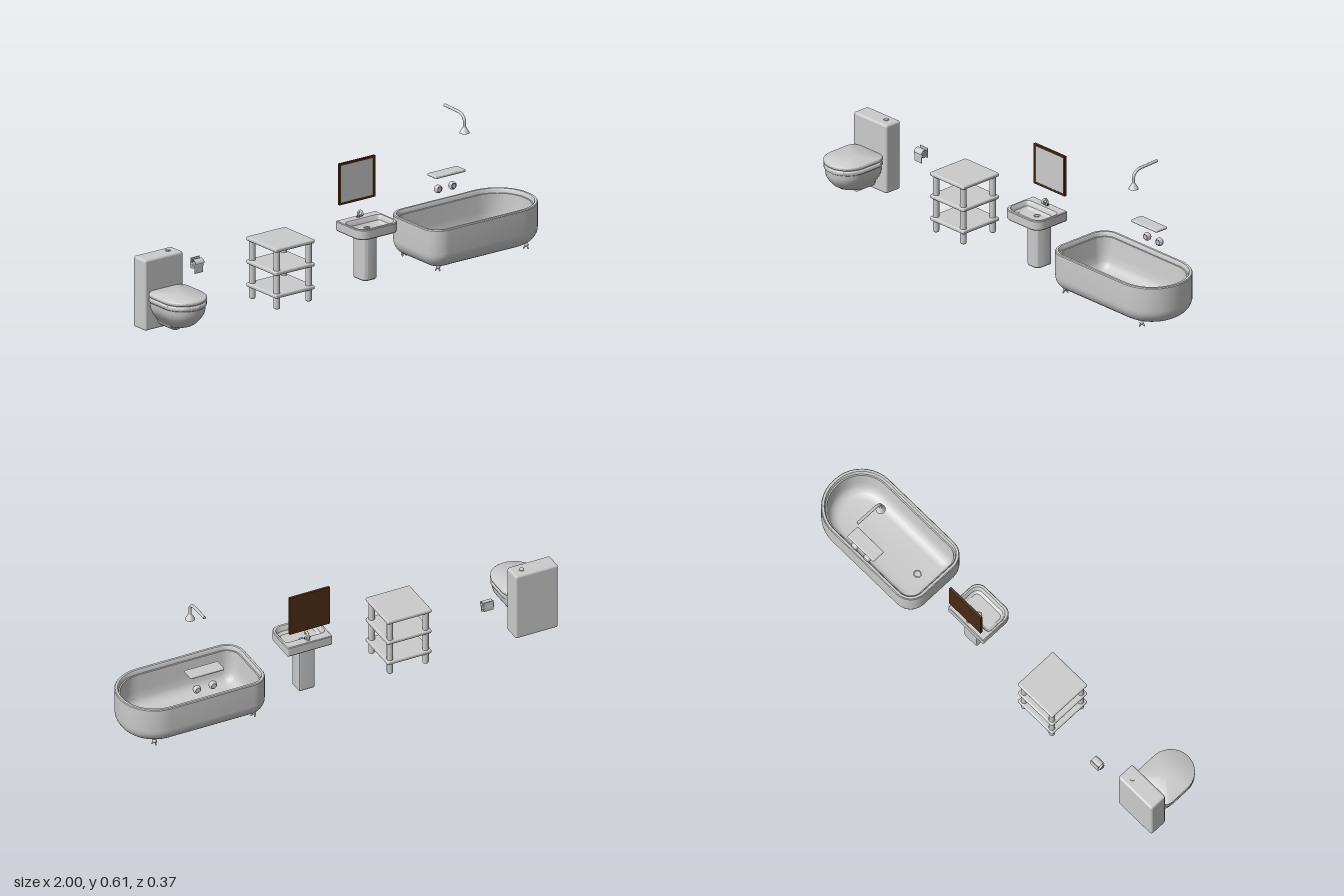
import * as THREE from 'three';
import { toCreasedNormals, mergeVertices } from 'three/addons/utils/BufferGeometryUtils.js';
import { RoundedBoxGeometry } from 'three/addons/geometries/RoundedBoxGeometry.js';

const mat = (color) => new THREE.MeshStandardMaterial({ color });
const grey = mat(0xcccccc), brown = mat(0x4a2a14), red = mat(0xcc3322), blue = mat(0x2233cc);

function add(parent, name, geo, x = 0, y = 0, z = 0, material = grey) {
  const m = new THREE.Mesh(geo, material);
  m.name = name;
  m.position.set(x, y, z);
  parent.add(m);
  return m;
}

function group(parent, name, x = 0, y = 0, z = 0) {
  const g = new THREE.Group();
  g.name = name;
  g.position.set(x, y, z);
  parent.add(g);
  return g;
}

const box = (w, h, d, r = 0.006) => new RoundedBoxGeometry(w, h, d, 3, r);
const cyl = (r0, r1, h) => new THREE.CylinderGeometry(r0, r1, h, 24);
const cylZ = (r0, r1, h) => cyl(r0, r1, h).rotateX(Math.PI / 2);

// Horizontal rounded rectangle; radii run (+x+z), (-x+z), (-x-z), (+x-z)
function ring(y, x0, x1, z0, z1, radii) {
  const pts = [], n = 10, limit = Math.min(x1 - x0, z1 - z0) / 2 - 0.0005;
  radii.forEach((rad, c) => {
    const r = Math.max(0.002, Math.min(rad, limit));
    const cx = c === 0 || c === 3 ? x1 - r : x0 + r;
    const cz = c < 2 ? z1 - r : z0 + r;
    for (let i = 0; i <= n; i++) {
      const a = (c + i / n) * Math.PI / 2;
      pts.push([cx + r * Math.cos(a), y, cz + r * Math.sin(a)]);
    }
  });
  return pts;
}

// Skin over successive rings, closed at both ends
function loft(rings, crease = 0.6) {
  const n = rings[0].length, pos = rings.flat(2), idx = [];
  for (let k = 0; k < rings.length - 1; k++) {
    for (let i = 0; i < n; i++) {
      const a = k * n + i, b = k * n + (i + 1) % n;
      idx.push(a, a + n, b, b, a + n, b + n);
    }
  }
  const last = rings.length - 1;
  [0, last].forEach((k, e) => {
    const c = pos.length / 3;
    for (let j = 0; j < 3; j++) pos.push(rings[k].reduce((s, p) => s + p[j], 0) / n);
    for (let i = 0; i < n; i++) {
      const a = k * n + i, b = k * n + (i + 1) % n;
      idx.push(c, e ? b : a, e ? a : b);
    }
  });
  const g = new THREE.BufferGeometry();
  g.setAttribute('position', new THREE.Float32BufferAttribute(pos, 3));
  g.setIndex(idx);
  return toCreasedNormals(mergeVertices(g, 1e-5), crease);
}

// Ring family: each [y, inset] shrinks one outline evenly
const insets = (steps, x0, x1, z0, z1, radii) => steps.map(([y, d]) =>
  ring(y, x0 + d, x1 - d, z0 + d, z1 - d, radii.map((r) => r - d)));

function toilet(root) {
  const g = group(root, 'toilet', -0.9);
  add(g, 'cistern', box(0.2, 0.312, 0.083, 0.01), 0, 0.156, -0.082);
  add(g, 'flushButton', cyl(0.011, 0.011, 0.006), 0.053, 0.313, -0.085);
  const slab = (y0, y1, e) => loft(insets(
    [[y0, e + 0.005], [y0 + 0.004, e], [y1 - 0.004, e], [y1, e + 0.005]],
    -0.1, 0.1, -0.045, 0.187, [0.1, 0.1, 0.045, 0.045]), 0.9);
  add(g, 'lid', slab(0.155, 0.173, 0));
  add(g, 'seat', slab(0.132, 0.154, 0.001));
  // [height, half width, front reach]
  const bowl = [[0.022, 0.02, 0.06], [0.032, 0.033, 0.09], [0.045, 0.045, 0.125], [0.06, 0.058, 0.148],
    [0.078, 0.074, 0.164], [0.098, 0.087, 0.177], [0.115, 0.092, 0.181], [0.134, 0.094, 0.182]];
  add(g, 'bowl', loft(bowl.map(([y, w, z]) => ring(y, -w, w, -0.042, z, [w, w, w * 0.4, w * 0.4]))));
  add(g, 'outletPipe', cylZ(0.036, 0.036, 0.09), 0, 0.045, 0.0);
}

function paperHolder(root) {
  const g = group(root, 'paperHolder', -0.672, 0, -0.115);
  add(g, 'paperRoll', cyl(0.014, 0.014, 0.05).rotateZ(Math.PI / 2), 0, 0.207, 0);
  add(g, 'hangingSheet', box(0.044, 0.036, 0.002, 0.0008), 0, 0.19, 0.013);
  add(g, 'spindle', cyl(0.004, 0.004, 0.056).rotateZ(Math.PI / 2), 0, 0.207, 0);
  // Curved cover over the roll
  const s = new THREE.Shape();
  s.absarc(0, 0, 0.019, 0.1, Math.PI, false);
  s.absarc(0, 0, 0.016, Math.PI, 0.1, true);
  const cover = new THREE.ExtrudeGeometry(s, { depth: 0.046, bevelEnabled: false, curveSegments: 16 });
  add(g, 'cover', toCreasedNormals(cover.rotateY(-Math.PI / 2), 0.6), 0.026, 0.211, 0);
  add(g, 'wallPlate', box(0.046, 0.045, 0.003, 0.001), 0.003, 0.212, -0.017);
}

function shelfUnit(root) {
  const g = group(root, 'shelfUnit', -0.305, 0, -0.021);
  for (const y of [0.059, 0.16, 0.262]) add(g, 'shelf', box(0.207, 0.018, 0.207, 0.007), 0, y, 0);
  for (const sx of [-1, 1]) for (const sz of [-1, 1]) {
    add(g, 'leg', cyl(0.0135, 0.0135, 0.252), sx * 0.083, 0.13, sz * 0.084);
    add(g, 'legFoot', cyl(0.0135, 0.011, 0.004), sx * 0.083, 0.002, sz * 0.084);
  }
}

function mirror(root) {
  const g = group(root, 'mirror', 0.145, 0.412, -0.086);
  add(g, 'mirrorBack', new THREE.BoxGeometry(0.184, 0.18, 0.006), 0, 0, -0.0025, brown);
  add(g, 'mirrorGlass', new THREE.BoxGeometry(0.168, 0.164, 0.004), 0, 0, 0.002);
  for (const s of [-1, 1]) {
    add(g, 'frameRail', new THREE.BoxGeometry(0.188, 0.009, 0.011), 0, s * 0.0865, 0, brown);
    add(g, 'frameStile', new THREE.BoxGeometry(0.009, 0.182, 0.011), s * 0.0895, 0, 0, brown);
  }
}

function sink(root) {
  const g = group(root, 'sink', 0.143);
  const R = [0.045, 0.045, 0.006, 0.006];
  const outer = insets([[0.21, 0.003], [0.214, 0], [0.251, 0], [0.254, 0.003]], -0.105, 0.105, -0.09, 0.085, R);
  const inner = insets([[0.254, 0], [0.251, 0.003], [0.232, 0.008], [0.223, 0.02]],
    -0.095, 0.095, -0.05, 0.072, [0.04, 0.04, 0.02, 0.02]);
  add(g, 'basin', loft([...outer, ...inner]));
  add(g, 'drain', new THREE.TorusGeometry(0.012, 0.002, 8, 24).rotateX(Math.PI / 2), 0, 0.223, -0.013);
  const P = [0.025, 0.025, 0.008, 0.008];
  add(g, 'pedestal', loft(insets([[0, 0.003], [0.004, 0], [0.211, 0]], -0.038, 0.038, -0.062, 0.019, P)));
  // Tap with hot and cold handles
  const path = new THREE.CatmullRomCurve3([[0.254, -0.072], [0.274, -0.071], [0.284, -0.06], [0.282, -0.048], [0.269, -0.043]]
    .map(([y, z]) => new THREE.Vector3(0, y, z)));
  add(g, 'tapSpout', new THREE.TubeGeometry(path, 24, 0.005, 12, false), 0, 0, 0,
    new THREE.MeshStandardMaterial({ color: 0xcccccc, side: THREE.DoubleSide }));
  add(g, 'tapBase', cyl(0.007, 0.009, 0.006), 0, 0.256, -0.071);
  for (const s of [-1, 1]) {
    add(g, 'tapHandle', cyl(0.005, 0.005, 0.008).rotateZ(Math.PI / 2), s * 0.008, 0.262, -0.062);
    add(g, 'handleCap', cyl(0.004, 0.004, 0.002).rotateZ(Math.PI / 2), s * 0.0125, 0.262, -0.062, s > 0 ? blue : red);
  }
}

function bathtub(root) {
  const g = group(root, 'bathtub');
  // Outer wall with rounded base, lip, inner wall, floor
  const steps = [];
  const b = 0.07;
  for (let i = 0; i <= 8; i++) {
    const a = i / 8 * Math.PI / 2;
    steps.push([0.016 + b * (1 - Math.cos(a)), b * (1 - Math.sin(a))]);
  }
  steps.push([0.19, 0], [0.194, 0.003], [0.194, 0.013], [0.19, 0.016], [0.175, 0.018], [0.175, 0.024], [0.1, 0.027]);
  for (let i = 1; i <= 6; i++) {
    const a = i / 6 * Math.PI / 2;
    steps.push([0.03 + 0.05 * (1 - Math.sin(a)), 0.03 + 0.05 * (1 - Math.cos(a))]);
  }
  add(g, 'tubShell', loft(insets(steps, 0.373, 1.0, -0.186, 0.146, [0.16, 0.08, 0.08, 0.16])));
  add(g, 'tubDrain', new THREE.TorusGeometry(0.015, 0.002, 8, 24).rotateX(Math.PI / 2), 0.5, 0.03, -0.02);
  // Clawed feet, three splayed toes each
  for (const x of [0.432, 0.895]) for (const z of [-0.139, 0.098]) {
    const foot = group(g, 'clawFoot', x, 0, z);
    add(foot, 'ankle', new THREE.SphereGeometry(0.009, 12, 8), 0, 0.019, 0);
    for (let i = 0; i < 3; i++) {
      const toe = group(foot, 'toe', 0, 0.019, 0);
      toe.rotation.y = i * Math.PI * 2 / 3 + (z > 0 ? -Math.PI / 2 : Math.PI / 2);
      add(toe, 'claw', new THREE.CapsuleGeometry(0.0035, 0.014, 4, 8), 0.007, -0.0075, 0).rotation.z = 0.6;
    }
  }
}

function shower(root) {
  const g = group(root, 'shower', 0.686);
  add(g, 'soapShelf', box(0.157, 0.012, 0.062, 0.005), -0.015, 0.314, -0.156);
  for (const s of [-1, 1]) {
    const knob = group(g, s < 0 ? 'hotKnob' : 'coldKnob', -0.008 + s * 0.037, 0.243, -0.174);
    const profile = [[0, -0.012], [0.012, -0.012], [0.0165, -0.007], [0.018, 0], [0.0165, 0.007], [0.012, 0.011], [0, 0.011]]
      .map(([r, h]) => new THREE.Vector2(r, h));
    add(knob, 'knobBody', toCreasedNormals(new THREE.LatheGeometry(profile, 28).rotateX(Math.PI / 2), 0.7));
    add(knob, 'knobRing', new THREE.TorusGeometry(0.0115, 0.0013, 8, 28), 0, 0, 0.011, s < 0 ? red : blue);
  }
  // Bent pipe and flared head
  const v = (y, z) => new THREE.Vector3(0, y, z);
  const path = new THREE.CurvePath();
  path.add(new THREE.LineCurve3(v(0.6, -0.186), v(0.597, -0.098)));
  path.add(new THREE.CubicBezierCurve3(v(0.597, -0.098), v(0.596, -0.07), v(0.582, -0.053), v(0.56, -0.053)));
  path.add(new THREE.LineCurve3(v(0.56, -0.053), v(0.535, -0.053)));
  add(g, 'showerPipe', new THREE.TubeGeometry(path, 48, 0.0065, 14, false));
  add(g, 'pipeEnd', cylZ(0.0065, 0.0065, 0.002), 0, 0.6, -0.186);
  add(g, 'showerHead', cyl(0.0065, 0.021, 0.023), 0, 0.5285, -0.053);
  add(g, 'headRim', cyl(0.021, 0.021, 0.003), 0, 0.5155, -0.053);
}

export function createModel() {
  const root = new THREE.Group();
  root.name = 'bathroomSet';
  for (const build of [toilet, paperHolder, shelfUnit, mirror, sink, bathtub, shower]) build(root);
  return root;
}
